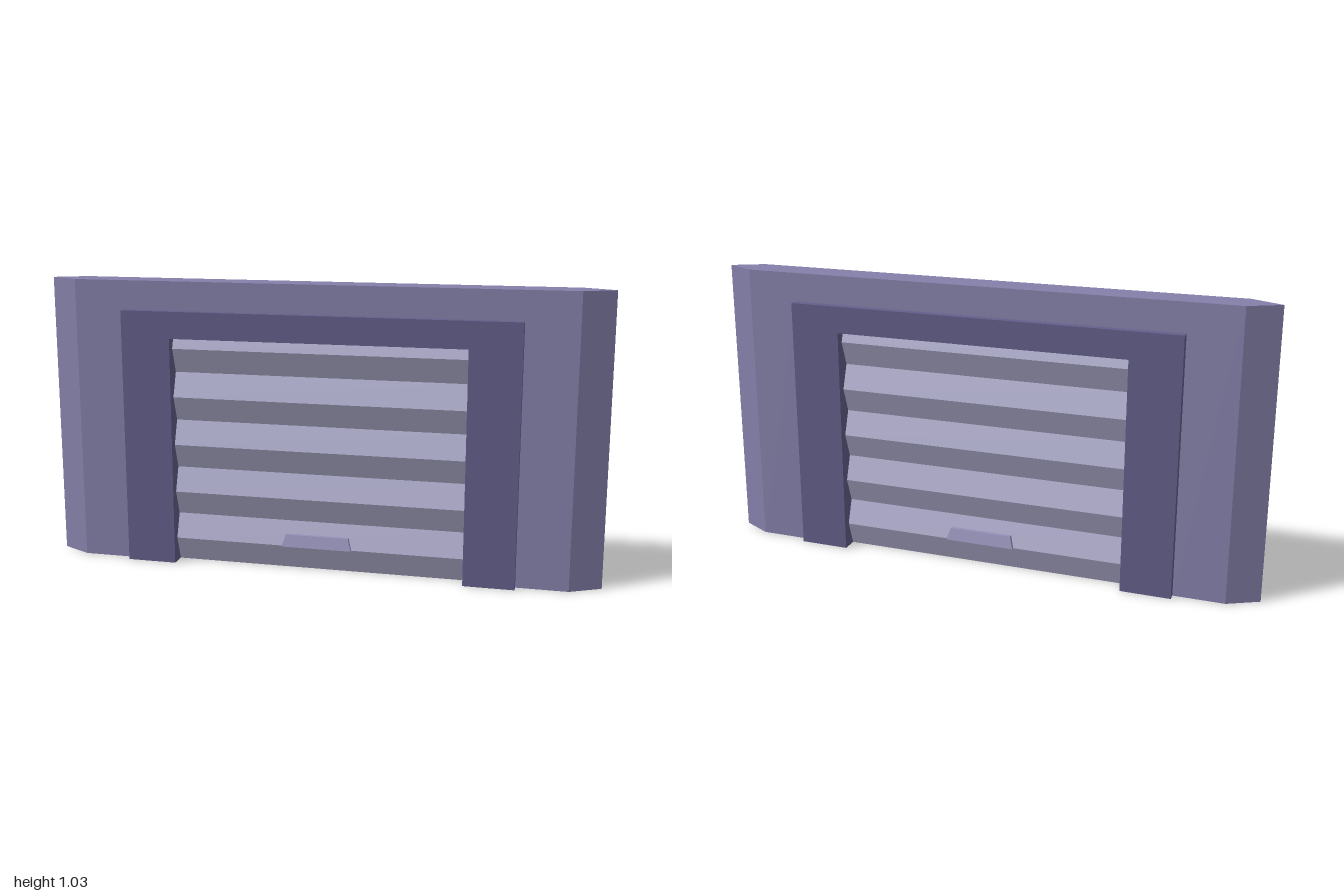
import * as THREE from 'three';

const material = (color) => new THREE.MeshStandardMaterial({ color, flatShading: true });

function polygon(points) {
  return new THREE.Shape(points.map(([x, y]) => new THREE.Vector2(x, y)));
}

// Extrusion centred on z = 0
function slab(points, depth, steps = 1) {
  const geometry = new THREE.ExtrudeGeometry(polygon(points), { depth, steps, bevelEnabled: false });
  return geometry.translate(0, 0, -depth / 2);
}

// Upright arch outline: outer half width and height, inner half width and height
function portal(w, h, iw, ih) {
  return [[-w, 0], [-iw, 0], [-iw, ih], [iw, ih], [iw, 0], [w, 0], [w, h], [-w, h]];
}

// A (z, y) profile extruded along x
function alongX(points, length) {
  return slab(points, length).rotateY(-Math.PI / 2);
}

// Move every vertex by a rule and refresh the normals
function reshape(geometry, rule) {
  const pos = geometry.attributes.position;
  const v = new THREE.Vector3();
  for (let i = 0; i < pos.count; i++) {
    rule(v.fromBufferAttribute(pos, i));
    pos.setXYZ(i, v.x, v.y, v.z);
  }
  geometry.computeVertexNormals();
  return geometry;
}

export function createModel() {
  const model = new THREE.Group();
  const add = (name, geometry, color) => {
    const mesh = new THREE.Mesh(geometry, material(color));
    mesh.name = name;
    model.add(mesh);
  };

  const frameW = 0.708, frameH = 0.926, doorW = 0.528, doorH = 0.83;

  // Wall with ends that narrow to a vertical edge
  const wall = slab(portal(1, 1.03, frameW, frameH), 0.116, 2);
  reshape(wall, (v) => {
    if (Math.abs(v.x) > 0.99 && Math.abs(v.z) > 0.01) v.x = Math.sign(v.x) * 0.89;
  });
  add('wall', wall, 0x8480aa);

  // Thick surround standing proud on both faces
  add('doorFrame', slab(portal(frameW, frameH, doorW, doorH), 0.172), 0x625e8a);

  // Shutter with alternating valleys and ridges on both faces
  const pitch = 0.0878, valley = 0.026, ridge = 0.057;
  const side = [];
  for (let i = 0; i < 10; i++) side.push([i % 2 ? ridge : valley, i * pitch]);
  side.push([0.043, doorH]);
  const back = side.map(([z, y]) => [-z, y]).reverse();
  add('shutter', alongX([...side, ...back], doorW * 2), 0xaaa8c8);

  // Tapered pull on both faces, resting on the lowest ridge
  const handle = alongX([[-0.068, pitch], [0.068, pitch], [0.056, 0.13], [-0.056, 0.13]], 0.254);
  reshape(handle, (v) => { if (v.y > 0.1) v.x *= 0.9; });
  add('handle', handle, 0x9692ba);

  return model;
}
